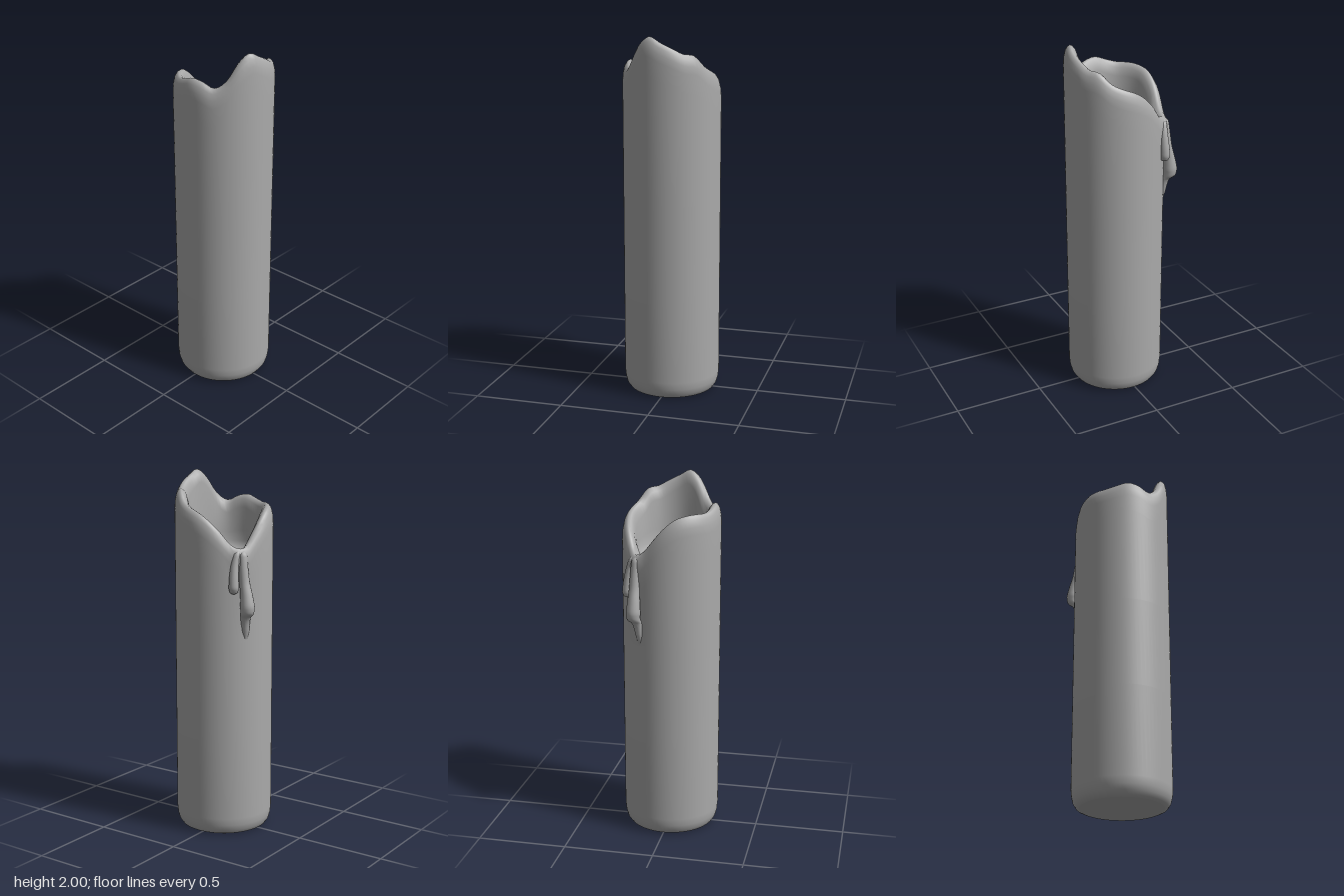
import * as THREE from 'three';

const CX = 0.013, RADIUS = 0.27, FLOOR = 1.55, SPOUT = THREE.MathUtils.degToRad(215);

// Height of the melted rim, every 15 degrees from +x towards +z
const RIM = [1.97, 2.0, 1.955, 1.865, 1.825, 1.85, 1.86, 1.84, 1.825, 1.825, 1.82, 1.8,
  1.75, 1.68, 1.61, 1.62, 1.69, 1.75, 1.79, 1.815, 1.845, 1.9, 1.91, 1.94];

function rimHeight(angle) {
  const n = RIM.length, f = angle / (Math.PI * 2) * n, i = Math.floor(f), t = f - i;
  const [a, b, c, d] = [-1, 0, 1, 2].map(k => RIM[(i + k + n) % n]);
  return b + 0.5 * t * (c - a + t * (2 * a - 5 * b + 4 * c - d + t * (3 * (b - c) + d - a)));
}

// Closed rings of points, stacked from bottom to top, joined into one smooth skin
function skin(rows, sides, point) {
  const pos = [], index = [];
  for (let i = 0; i < rows; i++)
    for (let j = 0; j < sides; j++) pos.push(...point(i, j / sides * Math.PI * 2));
  for (let i = 0; i < rows - 1; i++)
    for (let j = 0; j < sides; j++) {
      const k = (j + 1) % sides;
      const a = i * sides + j, b = i * sides + k, c = b + sides, d = a + sides;
      index.push(a, d, c, a, c, b);
    }
  const g = new THREE.BufferGeometry();
  g.setAttribute('position', new THREE.Float32BufferAttribute(pos, 3));
  g.setIndex(index);
  g.computeVertexNormals();
  return g;
}

// Candle profile at one angle: outside wall, rounded lip, bowl wall and floor
function profile(angle) {
  const h = rimHeight(angle), deep = h - FLOOR;
  return [
    [0.225, 0], [0.243, 0.008], [0.258, 0.03], [0.266, 0.06], [RADIUS, 0.1],
    [RADIUS, 0.6], [RADIUS, 1.1], [RADIUS, h - 0.2], [RADIUS, h - 0.1], [0.267, h - 0.06],
    [0.259, h - 0.025], [0.247, h - 0.006], [0.235, h], [0.222, h - Math.min(0.006, deep * 0.1)],
    [0.207, h - Math.min(0.025, deep * 0.25)], [0.195, h - Math.min(0.07, deep * 0.45)],
    [0.187, FLOOR + deep * 0.35], [0.182, FLOOR + Math.min(0.05, deep * 0.25)],
    [0.168, FLOOR + Math.min(0.018, deep * 0.12)], [0.14, FLOOR + 0.003], [0.07, FLOOR], [0, FLOOR],
  ];
}

function candlePoint(i, angle) {
  let [r, y] = profile(angle)[i];
  // Pull the lip outwards where the wax spills over
  const off = angle - SPOUT, h = rimHeight(angle);
  if (r > 0.15 && y > 1.2)
    r += 0.025 * Math.exp(-off * off / 0.03) * THREE.MathUtils.smoothstep(y, h - 0.2, h - 0.03);
  return [CX + r * Math.cos(angle), y, r * Math.sin(angle)];
}

// Wax run: each station is [x, y, z, radius], from bottom to top
function drip(stations) {
  const curve = new THREE.CatmullRomCurve3(stations.map(s => new THREE.Vector3(s[0], s[1], s[2])));
  const last = stations.length - 1, rows = last * 4 + 1;
  return skin(rows, 16, (i, a) => {
    const t = i / (rows - 1), k = Math.min(Math.floor(t * last), last - 1);
    const p = curve.getPoint(t);
    const r = THREE.MathUtils.lerp(stations[k][3], stations[k + 1][3], t * last - k);
    return [p.x + r * Math.cos(a), p.y, p.z + r * Math.sin(a)];
  });
}

export function createModel() {
  const wax = new THREE.MeshStandardMaterial({ color: 0xaaaaaa });
  wax.name = 'wax';
  const model = new THREE.Group();
  model.name = 'candle';
  const add = (name, geometry) => {
    const mesh = new THREE.Mesh(geometry, wax);
    mesh.name = name;
    model.add(mesh);
    return mesh;
  };

  // Hollowed body and flat underside
  add('candleBody', skin(profile(0).length, 72, candlePoint));
  const base = add('candleBase', new THREE.CircleGeometry(0.225, 72));
  base.rotation.x = Math.PI / 2;
  base.position.x = CX;

  // Long run with a heavy bead and a faint trail below it
  add('longDrip', drip([
    [-0.212, 1.07, -0.125, 0.001], [-0.215, 1.16, -0.128, 0.022], [-0.225, 1.235, -0.14, 0.028],
    [-0.245, 1.262, -0.154, 0.036], [-0.248, 1.3, -0.156, 0.04], [-0.241, 1.36, -0.155, 0.034],
    [-0.228, 1.43, -0.154, 0.028], [-0.219, 1.51, -0.152, 0.025], [-0.212, 1.58, -0.147, 0.022],
    [-0.205, 1.605, -0.14, 0.001],
  ]));

  // Short run beside it
  add('shortDrip', drip([
    [-0.185, 1.365, -0.195, 0.001], [-0.189, 1.375, -0.199, 0.02], [-0.191, 1.4, -0.201, 0.028],
    [-0.189, 1.45, -0.198, 0.026], [-0.188, 1.52, -0.189, 0.021], [-0.192, 1.58, -0.172, 0.018],
    [-0.194, 1.605, -0.16, 0.001],
  ]));
  return model;
}
